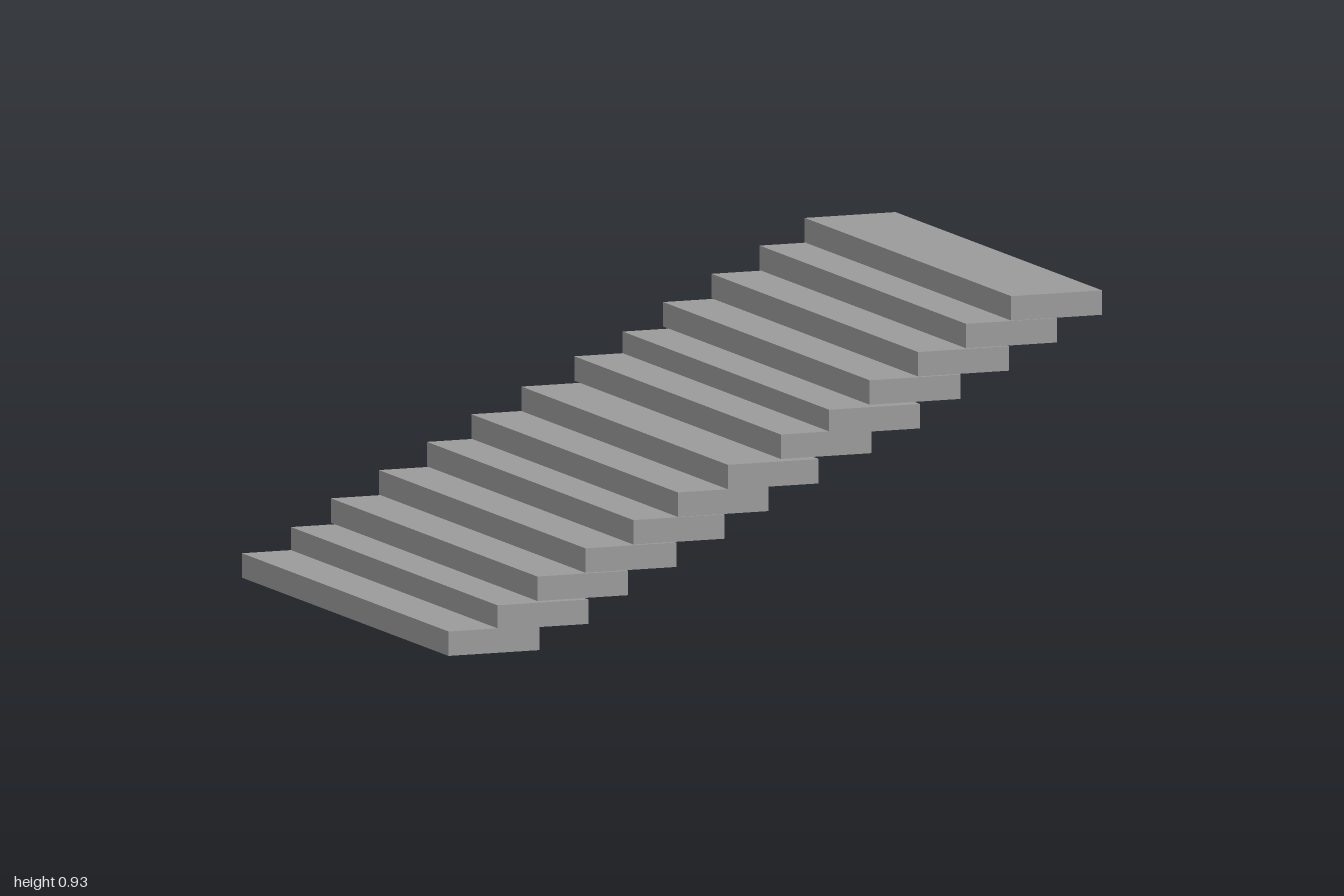
import * as THREE from 'three';

// Overlapping slab treads: slightly uneven [left edge x, underside y] of each one
const STEPS = [
  [-1, 0], [-0.85, 0.066], [-0.728, 0.141], [-0.581, 0.213], [-0.434, 0.285],
  [-0.298, 0.356], [-0.145, 0.426], [0.017, 0.503], [0.165, 0.565],
  [0.289, 0.642], [0.437, 0.714], [0.584, 0.786], [0.722, 0.857],
];
const DEPTH = 0.278, THICKNESS = 0.07, WIDTH = 1.535;

export function createModel() {
  const staircase = new THREE.Group();
  staircase.name = 'staircase';
  const material = new THREE.MeshStandardMaterial({ color: 0x9a9a9a });
  const slab = new THREE.BoxGeometry(DEPTH, THICKNESS, WIDTH);

  // Treads climb towards +x
  STEPS.forEach(([x, y], i) => {
    const tread = new THREE.Mesh(slab, material);
    tread.name = `tread${i + 1}`;
    tread.position.set(x + DEPTH / 2, y + THICKNESS / 2, 0);
    staircase.add(tread);
  });
  return staircase;
}
